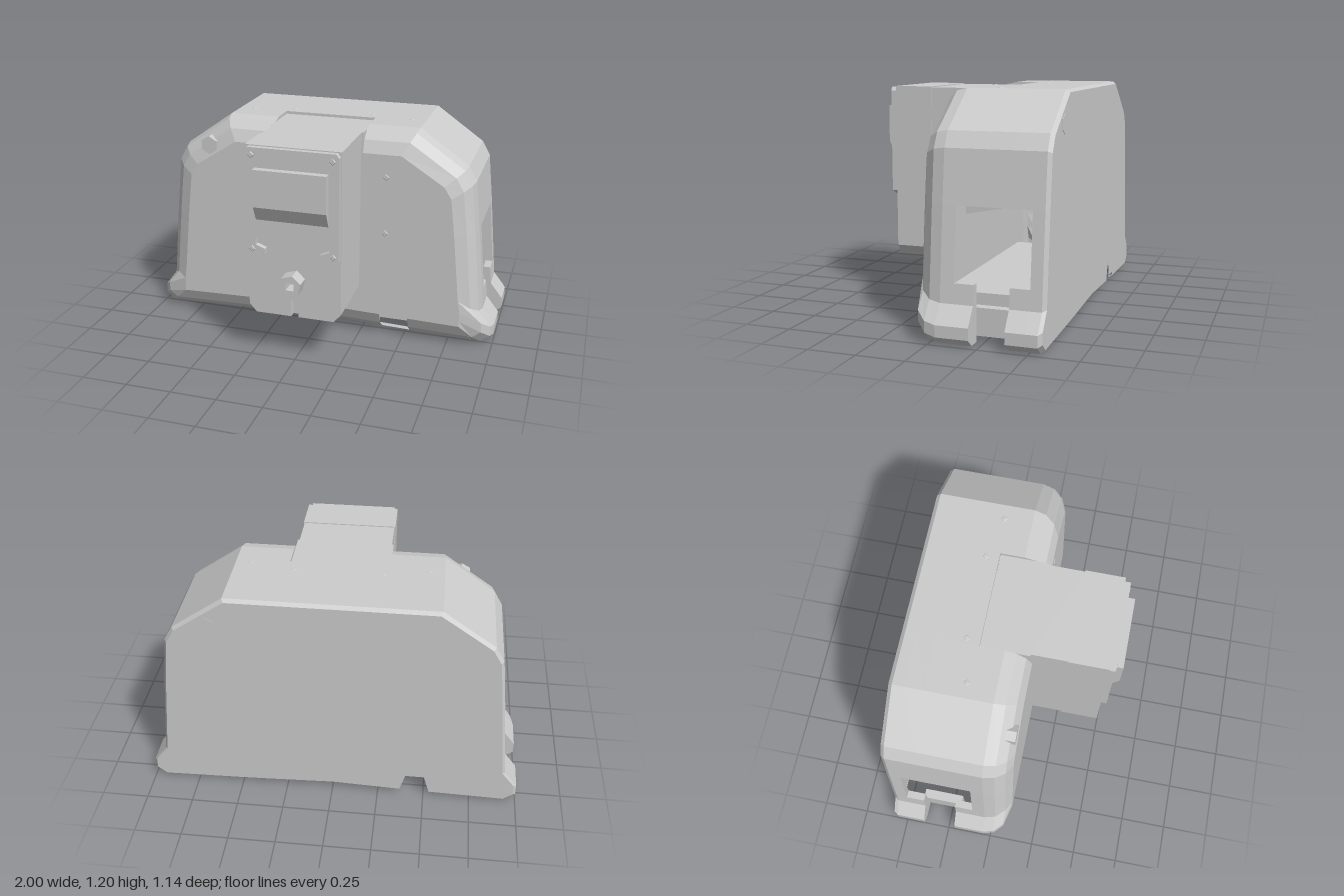
import * as THREE from 'three';

const grey = new THREE.MeshStandardMaterial({ color: 0xcccccc, flatShading: true, side: THREE.DoubleSide });
grey.name = 'plain grey';

// Half of the housing outline, from the foot up to the top slot
const half = [[.95, 0], [1, .04], [1, .1], [.93, .19], [.92, .29], [.885, .66], [.855, .93], [.81, 1.01], [.54, 1.2], [.26, 1.2]];
const outline = [
  ...half,
  ...half.map(([x, y]) => [-x, y]).reverse(),
  [-.53, .01], [-.37, .015], [0, .03], [.37, .015], [.53, .01],
];
const N = outline.length;
// Cross-sections as [z, inset]
const rings = [[-.57, .015], [-.55, 0], [-.49, 0], [-.39, 0], [-.21, 0], [-.17, 0], [-.11, 0],
  [-.04, 0], [.02, .015], [.07, .06], [.1, .13]];

function point(i, j, inner) {
  let [x, y] = outline[j % N];
  let [z, d] = rings[i];
  if (Math.abs(x) >= .54) x *= 1 - d;
  // The flared feet fade out on the front face
  if (d > .1) x = THREE.MathUtils.clamp(x, -.82, .82);
  y = .6 + (y - .6) * (1 - d * 1.6);
  if (inner) {
    if (Math.abs(x) > .4 && j % N < 20) x = Math.sign(x) * Math.min(Math.abs(x) - .02, .88);
    if (y > 1) y -= .02;
    z = THREE.MathUtils.clamp(z, -.55, .08);
  }
  return [x, y, z];
}

// True where the shell is open: side windows, foot slots, top slot, underside
function isOpen(i, j) {
  const z = (rings[i][0] + rings[i + 1][0]) / 2;
  if (j >= 19) {
    if (z > -.54 && z < -.04) return true;
    return (j === 23 && z > 0) || (j === 20 && z < -.5);
  }
  if (j === 9) return z > -.17;
  const k = j < 9 ? j : 18 - j;
  if (k === 4) return z > -.49 && z < -.11;
  return k < 4 && z > -.39 && z < -.21;
}

function shellGeometry() {
  const pos = [];
  const quad = (a, b, c, d) => pos.push(...a, ...b, ...c, ...a, ...c, ...d);
  const last = rings.length - 1;
  for (let i = 0; i < last; i++) {
    for (let j = 0; j < N; j++) {
      if (isOpen(i, j)) continue;
      for (const inner of j < 19 ? [false, true] : [false]) {
        const q = [point(i, j, inner), point(i, j + 1, inner), point(i + 1, j + 1, inner), point(i + 1, j, inner)];
        if (inner) quad(...q.reverse()); else quad(...q);
      }
      // Rims joining the outer and inner walls around each opening
      const rim = (i1, j1, i2, j2) =>
        quad(point(i1, j1, false), point(i1, j1, true), point(i2, j2, true), point(i2, j2, false));
      if (isOpen(i, (j + 1) % N)) rim(i, j + 1, i + 1, j + 1);
      if (isOpen(i, (j + N - 1) % N)) rim(i + 1, j, i, j);
      if (i > 0 && isOpen(i - 1, j)) rim(i, j, i, j + 1);
      if (i < last - 1 && isOpen(i + 1, j)) rim(i + 1, j + 1, i + 1, j);
    }
  }
  // Front and back walls, each with a cable notch in the lower edge
  for (const [i, notchAt] of [[0, 20], [last, 23]]) {
    for (const inner of [false, true]) {
      const pts = [];
      let z = 0;
      for (let j = 0; j < N; j++) {
        const p = point(i, j, inner);
        z = p[2];
        pts.push(new THREE.Vector2(p[0], p[1]));
        if (j === notchAt) {
          const x = Math.sign(p[0]) * .45;
          pts.push(new THREE.Vector2(x - .04, .165), new THREE.Vector2(x + .04, .165));
        }
      }
      const flip = (i === 0) !== inner;
      for (const t of THREE.ShapeUtils.triangulateShape(pts, [])) {
        for (const k of flip ? [t[2], t[1], t[0]] : t) pos.push(pts[k].x, pts[k].y, z);
      }
    }
  }
  const g = new THREE.BufferGeometry();
  g.setAttribute('position', new THREE.Float32BufferAttribute(pos, 3));
  g.computeVertexNormals();
  return g;
}

export function createModel() {
  const model = new THREE.Group();
  const add = (name, geometry, x = 0, y = 0, z = 0) => {
    const m = new THREE.Mesh(geometry, grey);
    m.name = name;
    m.position.set(x, y, z);
    model.add(m);
    return m;
  };
  const extrude = (pts, depth) => new THREE.ExtrudeGeometry(
    new THREE.Shape(pts.map(([x, y]) => new THREE.Vector2(x, y))), { depth, bevelEnabled: false });
  // Plate drawn in x, y and extruded from z0 to z1
  const slab = (name, pts, z0, z1) => add(name, extrude(pts, z1 - z0), 0, 0, z0);
  // Side profile drawn in z, y and extruded across the width
  const profile = (name, pts, width) => {
    add(name, extrude(pts.map(([z, y]) => [-z, y]), width), -width / 2).rotation.y = Math.PI / 2;
  };

  add('housing', shellGeometry());

  // Floor closing the underside, and cross bars inside the foot slots
  add('floor', new THREE.BoxGeometry(1.24, .07, .6), 0, .135, -.24);
  for (const s of [1, -1]) {
    add('footBar', new THREE.BoxGeometry(.05, .14, .22), s * .855, .1, -.3);
  }

  // Front unit in two sections, with a rear part sunk into the housing top
  const block = (w, top) => [[-w + .04, .255], [w - .04, .255], [w, .3], [w, top], [-w, top], [-w, .3]];
  profile('unitRear', [[.09, .5], [.09, 1.185], [-.169, 1.185], [-.15, .65], [-.115, .54]], .518);
  slab('unitBase', block(.25, 1.185), .09, .28);
  slab('unitBody', block(.255, 1.19), .28, .45);
  slab('unitFace', [[-.215, .255], [-.02, .255], [-.02, .35], [.02, .35], [.02, .255], [.215, .255],
    [.255, .3], [.255, 1.19], [-.255, 1.19], [-.255, .3]], .45, .49);

  // Raised upper plate with two lower ears
  const ear = [[.235, 1.185], [.25, 1.165], [.25, .61], [.2, .585], [.15, .61], [.15, .64], [.2, .66], [.2, .7]];
  slab('upperPlate', [...ear, ...ear.map(([x, y]) => [-x, y]).reverse()], .49, .52);

  // Display block with a sloped lower edge
  profile('display', [[.51, .8], [.52, .8], [.56, .88], [.56, 1.08], [.51, 1.08]], .39);

  // Hexagonal knob with a square socket
  const hex = new THREE.Shape();
  for (let k = 0; k < 6; k++) {
    const a = k * Math.PI / 3 + .3;
    hex[k ? 'lineTo' : 'moveTo'](.062 * Math.cos(a), .062 * Math.sin(a));
  }
  hex.holes.push(new THREE.Path([[-.022, -.022], [-.022, .022], [.022, .022], [.022, -.022]]
    .map(([x, y]) => new THREE.Vector2(x, y))));
  add('knob', new THREE.ExtrudeGeometry(hex, { depth: .08, bevelEnabled: false }), 0, .465, .49);

  // Hexagonal corner plugs, front and back
  for (const [x, z] of [[-.63, .065], [.63, -.542]]) {
    add('cornerPlug', new THREE.CylinderGeometry(.052, .052, .06, 6), x, 1.04, z).rotation.x = Math.PI / 2;
  }

  // Small screw heads
  const screw = new THREE.CylinderGeometry(.014, .024, .006, 4);
  for (const [x, z] of [[.46, -.19], [.23, -.24]]) {
    for (const s of [1, -1]) add('topScrew', screw, s * x, 1.199, z);
  }
  for (const [x, y, z] of [[.39, .95, .1], [.39, .63, .1], [.215, 1.145, .52], [-.215, 1.145, .52],
    [.22, .635, .52], [-.22, .635, .52]]) {
    add('frontScrew', screw, x, y, z).rotation.x = Math.PI / 2;
  }
  return model;
}
